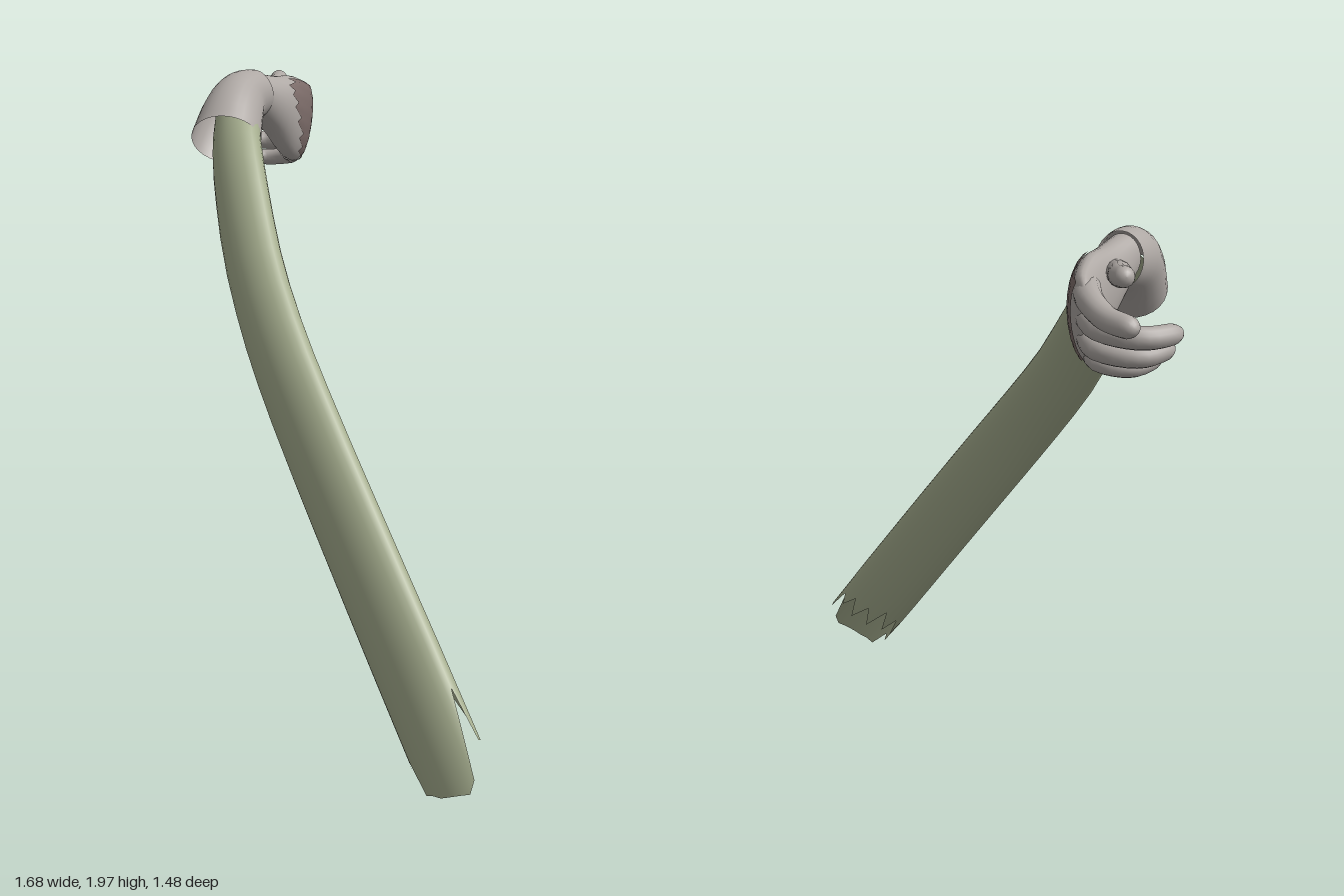
import * as THREE from 'three';

const v = (p) => new THREE.Vector3(...p);

// Skin a list of rings; closed rings wrap around, and the last may be capped
function loft(rings, closed = true, cap = false) {
  const n = rings[0].length, pos = rings.flat().flatMap((p) => [p.x, p.y, p.z]), idx = [];
  for (let i = 0; i < rings.length - 1; i++) {
    for (let j = 0; j < (closed ? n : n - 1); j++) {
      const k = (j + 1) % n, a = i * n + j, b = i * n + k;
      idx.push(a, b, b + n, a, b + n, a + n);
    }
  }
  if (cap) {
    const last = rings[rings.length - 1], c = new THREE.Vector3();
    last.forEach((p) => c.addScaledVector(p, 1 / n));
    pos.push(c.x, c.y, c.z);
    const base = (rings.length - 1) * n;
    for (let j = 0; j < n; j++) idx.push(base + j, base + (j + 1) % n, rings.length * n);
  }
  const g = new THREE.BufferGeometry();
  g.setAttribute('position', new THREE.Float32BufferAttribute(pos, 3));
  g.setIndex(idx);
  g.computeVertexNormals();
  return g;
}

// Elliptical ring around a curve; ref fixes the direction of its first axis
function ringAt(curve, t, ru, rv, ref, sides, push = () => 0) {
  const d = curve.getTangent(t), c = curve.getPoint(t);
  const u = new THREE.Vector3().crossVectors(ref, d).normalize();
  const w = new THREE.Vector3().crossVectors(d, u);
  return Array.from({ length: sides }, (_, j) => {
    const a = (j / sides) * Math.PI * 2;
    return c.clone().addScaledVector(u, ru * Math.cos(a)).addScaledVector(w, rv * Math.sin(a)).addScaledVector(d, push(j));
  });
}

export function createModel() {
  const model = new THREE.Group();
  model.name = 'sleevedArm';
  const mat = (name, color, side = THREE.FrontSide) => {
    const m = new THREE.MeshStandardMaterial({ color, side });
    m.name = name;
    return m;
  };
  const green = mat('sleeve green', 0xa5ad8e, THREE.DoubleSide);
  const grey = mat('glove grey', 0xaea8a4, THREE.DoubleSide);
  const brown = mat('patch brown', 0x7c6c69, THREE.DoubleSide);
  const add = (name, geo, material, parent = model) => {
    const m = new THREE.Mesh(geo, material);
    m.name = name;
    parent.add(m);
  };
  const X = v([1, 0, 0]), Y = v([0, 1, 0]), Z = v([0, 0, 1]);

  // Long sleeve, widening downward
  const arm = new THREE.CatmullRomCurve3([
    [-0.54, 1.84, -0.15], [-0.47, 1.74, -0.05], [-0.38, 1.6, 0.05], [-0.255, 1.4, 0.165], [-0.105, 1.2, 0.275],
    [0.05, 1.0, 0.36], [0.28, 0.7, 0.46], [0.545, 0.35, 0.565],
  ].map(v));
  const sleeve = [];
  for (let i = 0; i <= 14; i++) {
    const t = i / 14;
    sleeve.push(ringAt(arm, t, 0.075 + 0.047 * Math.sqrt(t), 0.068 - 0.008 * t, Z, 24));
  }
  // Torn hem: length beyond the last full ring, around the sleeve
  const hem = [0.3, 0.14, 0.26, 0.4, 0.43, 0.42, 0.41, 0.4, 0.38, 0.37, 0.26, 0.28,
    0.12, 0.2, 0.1, 0.18, 0.08, 0.2, 0.12, 0.22, 0.14, 0.22, 0.18, 0.3];
  sleeve.push(ringAt(arm, 1, 0.122, 0.06, Z, 24, (j) => hem[j]));
  add('sleeve', loft(sleeve), green);

  // Flared cuff bending to the wrist
  const bend = new THREE.CatmullRomCurve3([
    [-0.52, 1.77, -0.06], [-0.55, 1.845, -0.14], [-0.572, 1.895, -0.22], [-0.572, 1.915, -0.31],
  ].map(v));
  const cuff = [];
  for (let i = 0; i <= 10; i++) {
    const t = i / 10;
    cuff.push(ringAt(bend, t, 0.105 - 0.025 * t * t, 0.118 - 0.048 * t, X, 28));
  }
  add('cuff', loft(cuff), grey);

  // Palm: centres and half sizes (across x, along y) from wrist to knuckles
  const hand = new THREE.Group();
  hand.name = 'hand';
  model.add(hand);
  const centre = new THREE.CatmullRomCurve3([
    [-0.57, 1.915, -0.28], [-0.552, 1.87, -0.37], [-0.542, 1.83, -0.46], [-0.556, 1.812, -0.55], [-0.582, 1.815, -0.6],
  ].map(v));
  const size = new THREE.CatmullRomCurve3([
    [0.055, 0.068, 0], [0.06, 0.1, 0], [0.056, 0.138, 0], [0.046, 0.135, 0], [0.026, 0.1, 0],
  ].map(v));
  const palmPoint = (t, a, lift = 0) => {
    const c = centre.getPoint(t), s = size.getPoint(t);
    const p = v([c.x + (s.x + lift) * Math.cos(a), c.y - (s.y + lift) * Math.sin(a), c.z]);
    p.z -= (p.y - 1.82) * 0.3 * t;
    return p;
  };
  const palm = [];
  for (let i = 0; i <= 14; i++) {
    palm.push(Array.from({ length: 28 }, (_, j) => palmPoint(i / 14, (j / 28) * Math.PI * 2)));
  }
  add('palm', loft(palm, true, true), grey, hand);

  // Ragged patch on the back of the hand
  const edge = [0.34, 0.42, 0.31, 0.37, 0.33, 0.4, 0.35, 0.45, 0.4, 0.54, 0.48, 0.6, 0.55, 0.7, 0.66];
  const patch = [];
  for (let i = 0; i <= 6; i++) {
    patch.push(edge.map((e, j) => palmPoint(e + (0.86 - e) * i / 6, -1.1 + 2.3 * j / (edge.length - 1), 0.005)));
  }
  add('handPatch', loft(patch, false), brown, hand);

  // Tapered, round-tipped fingers curling to the right
  const fingers = {
    thumb: [0.034, [-0.585, 1.9, -0.38], [-0.625, 1.925, -0.47], [-0.655, 1.945, -0.56], [-0.695, 1.963, -0.625]],
    indexFinger: [0.037, [-0.555, 1.895, -0.54], [-0.6, 1.885, -0.63], [-0.665, 1.865, -0.69], [-0.765, 1.86, -0.74]],
    middleFinger: [0.035, [-0.55, 1.83, -0.53], [-0.62, 1.815, -0.625], [-0.745, 1.805, -0.635], [-0.83, 1.805, -0.545]],
    ringFinger: [0.034, [-0.55, 1.765, -0.51], [-0.61, 1.75, -0.6], [-0.73, 1.74, -0.595], [-0.795, 1.75, -0.505]],
    littleFinger: [0.029, [-0.55, 1.715, -0.47], [-0.595, 1.695, -0.545], [-0.69, 1.685, -0.535], [-0.745, 1.7, -0.455]],
  };
  for (const [name, [r, ...path]] of Object.entries(fingers)) {
    const curve = new THREE.CatmullRomCurve3(path.map(v)), rings = [];
    for (let i = 0; i <= 18; i++) {
      const t = Math.sin((i / 18) * Math.PI / 2), tip = Math.max(0, (t - 0.88) / 0.12);
      const rad = r * (1.1 - 0.25 * t) * Math.sqrt(Math.max(0.0004, 1 - tip * tip));
      rings.push(ringAt(curve, t, rad, rad, Y, 14));
    }
    add(name, loft(rings, true, true), grey, hand);
  }
  return model;
}
